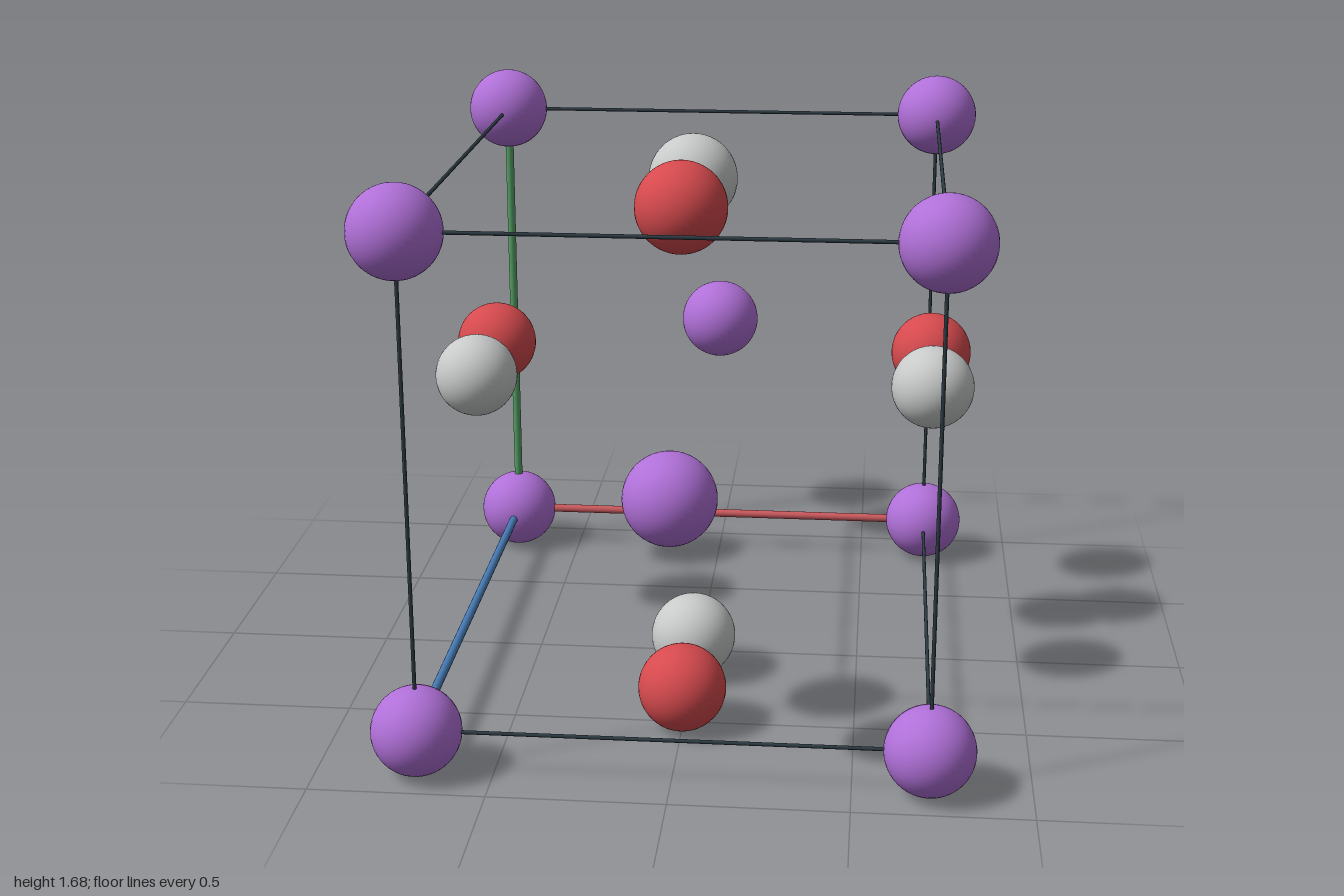
import * as THREE from 'three';

const X = 0.713, Z = 0.872, R = 0.128, Y0 = R, Y1 = 1.556, YM = (Y0 + Y1) / 2;

function material(name, color) {
  const m = new THREE.MeshStandardMaterial({ color });
  m.name = name;
  return m;
}

export function createModel() {
  const model = new THREE.Group();
  model.name = 'crystalUnitCell';
  const purple = material('purple', 0xb070d8);
  const red = material('red', 0xd64a4e);
  const grey = material('lightGrey', 0xc8caca);
  const dark = material('darkSlate', 0x2c3a42);
  const axisRed = material('axisRed', 0xcc5a5e);
  const axisGreen = material('axisGreen', 0x56a066);
  const axisBlue = material('axisBlue', 0x467ab4);

  const ball = new THREE.SphereGeometry(R, 40, 28);
  const addAtom = (name, mat, x, y, z) => {
    const atom = new THREE.Mesh(ball, mat);
    atom.name = name;
    atom.position.set(x, y, z);
    model.add(atom);
  };

  // Straight round bar between two points
  const addBar = (name, mat, radius, a, b) => {
    const from = new THREE.Vector3(...a), to = new THREE.Vector3(...b);
    const dir = to.clone().sub(from);
    const bar = new THREE.Mesh(new THREE.CylinderGeometry(radius, radius, dir.length(), 16), mat);
    bar.name = name;
    bar.position.copy(from).add(to).multiplyScalar(0.5);
    bar.quaternion.setFromUnitVectors(new THREE.Vector3(0, 1, 0), dir.normalize());
    model.add(bar);
  };

  // Corner atoms
  for (const x of [-X, X]) for (const y of [Y0, Y1]) for (const z of [-Z, Z])
    addAtom('cornerAtom', purple, x, y, z);

  // Atoms at the middle of the front and back faces
  for (const z of [-Z, Z]) addAtom('faceAtom', purple, 0, YM, z);

  // Red and grey pairs on the top, bottom and side faces
  for (const [name, mat, z] of [['redAtom', red, 0.533], ['greyAtom', grey, 0.163]]) {
    for (const y of [Y0, Y1]) addAtom(name, mat, 0, y, z);
    for (const x of [-X, X]) addAtom(name, mat, x, YM, -z);
  }

  // Thin cell edges, four along each direction
  const thin = 0.0055;
  for (const x of [-X, X]) for (const y of [Y0, Y1])
    addBar('cellEdge', dark, thin, [x, y, -Z], [x, y, Z]);
  for (const x of [-X, X]) for (const z of [-Z, Z])
    addBar('cellEdge', dark, thin, [x, Y0, z], [x, Y1, z]);
  for (const y of [Y0, Y1]) for (const z of [-Z, Z])
    addBar('cellEdge', dark, thin, [-X, y, z], [X, y, z]);

  // Thick coloured axes from the lower back right corner
  const origin = [-X, Y0, -Z], thick = 0.0135;
  addBar('widthAxis', axisRed, thick, origin, [X, Y0, -Z]);
  addBar('heightAxis', axisGreen, thick, origin, [-X, Y1, -Z]);
  addBar('depthAxis', axisBlue, thick, origin, [-X, Y0, Z]);

  return model;
}
